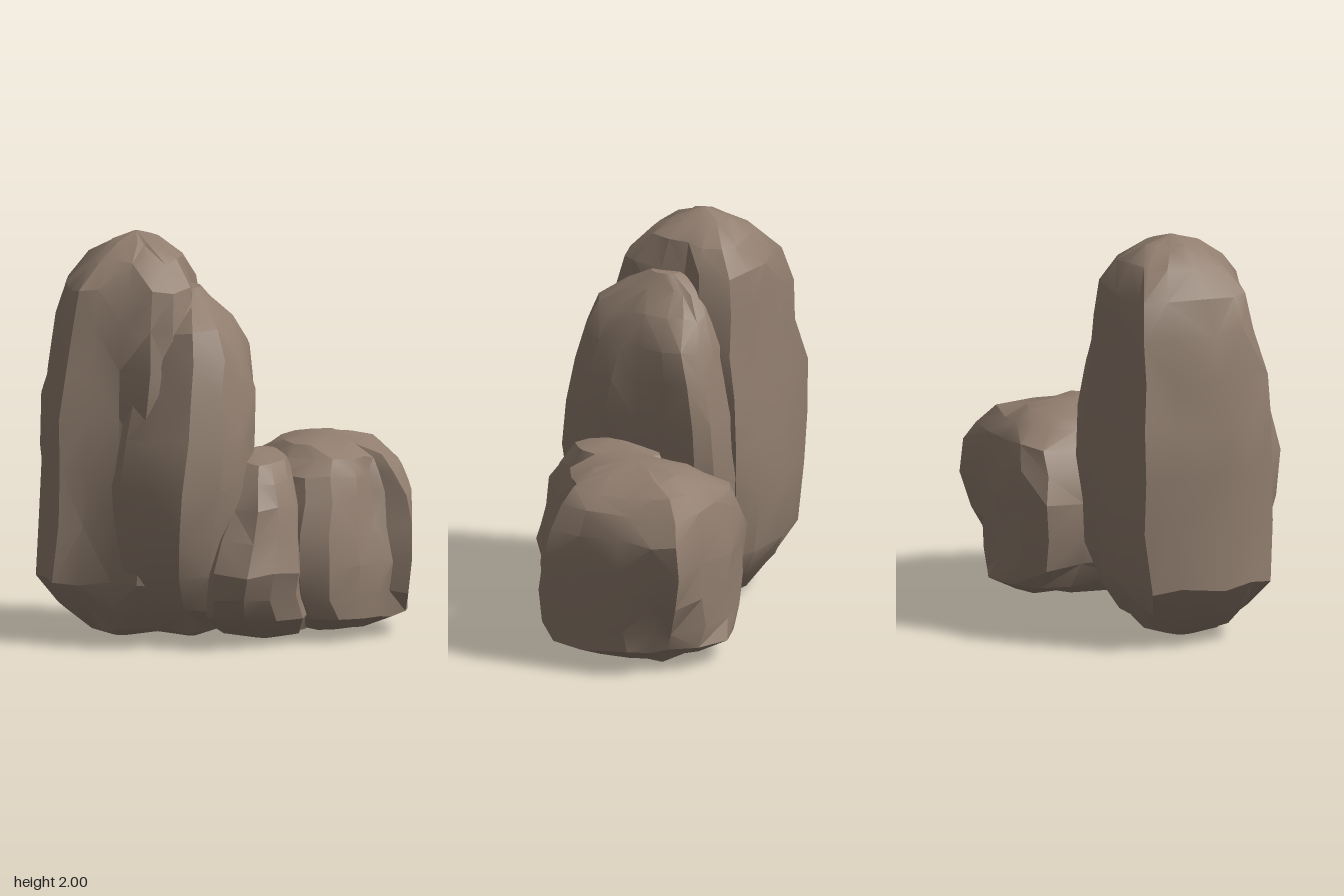
import * as THREE from 'three';
import { toCreasedNormals } from 'three/addons/utils/BufferGeometryUtils.js';

// Small seeded generator for the chipped surface
function seeded(seed) {
  let s = seed;
  return () => {
    s = (s * 16807) % 2147483647;
    return s / 2147483647 - 0.5;
  };
}

// plan: outline in x,z at the widest level, running front, right, back, left
// levels: [y, xMin, xMax, zMin, zMax] from bottom to top
// roundness: how soon the outline turns oval towards the ends
// dents: [x, y, z, radius, depth] gouges pushed towards the core
function rockGeometry({ plan, levels, roundness, dents, seed }) {
  const rnd = seeded(seed);
  const xs = plan.map(p => p[0]), zs = plan.map(p => p[1]);
  const norm = (v, a) => {
    const lo = Math.min(...a), hi = Math.max(...a);
    return (2 * v - lo - hi) / (hi - lo);
  };
  const unit = plan.map(([x, z]) => [norm(x, xs), norm(z, zs)]);
  const n = plan.length, m = levels.length;
  const verts = [], index = [];

  levels.forEach(([y, x0, x1, z0, z1], i) => {
    const t = Math.abs((2 * i) / (m - 1) - 1);
    const round = Math.min(1, roundness * t * t);
    const cx = (x0 + x1) / 2, cz = (z0 + z1) / 2;
    const rough = i === 0 || i === m - 1 ? 0 : 0.028;
    unit.forEach(([u, v]) => {
      const k = 1 / THREE.MathUtils.lerp(1, Math.max(0.6, Math.hypot(u, v)), round);
      const p = new THREE.Vector3(cx + u * k * (x1 - x0) / 2, y, cz + v * k * (z1 - z0) / 2);
      p.x += rnd() * rough;
      p.y += rnd() * rough;
      p.z += rnd() * rough;
      for (const [dx, dy, dz, r, depth] of dents) {
        const d = Math.hypot(p.x - dx, p.y - dy, p.z - dz);
        if (d < r) {
          const f = depth * (1 - d / r) / Math.hypot(p.x - cx, p.z - cz);
          p.x += (cx - p.x) * f;
          p.z += (cz - p.z) * f;
        }
      }
      verts.push(p.x, p.y, p.z);
    });
  });

  // sides, with varied diagonals
  for (let i = 0; i < m - 1; i++) {
    for (let j = 0; j < n; j++) {
      const a = i * n + j, b = i * n + (j + 1) % n, c = a + n, d = b + n;
      if (rnd() > 0) index.push(a, b, c, b, d, c);
      else index.push(a, b, d, a, d, c);
    }
  }
  // bottom and top caps
  for (const [row, up] of [[0, false], [m - 1, true]]) {
    const [y, x0, x1, z0, z1] = levels[row];
    const centre = verts.length / 3;
    verts.push((x0 + x1) / 2, y, (z0 + z1) / 2);
    for (let j = 0; j < n; j++) {
      const a = row * n + j, b = row * n + (j + 1) % n;
      index.push(centre, up ? a : b, up ? b : a);
    }
  }
  const g = new THREE.BufferGeometry();
  g.setAttribute('position', new THREE.Float32BufferAttribute(verts, 3));
  g.setIndex(index);
  return toCreasedNormals(g, 0.42);
}

const rocks = {
  tallRock: {
    seed: 11,
    roundness: 1.4,
    plan: [[-0.44, 0.42], [-0.3, 0.42], [-0.2, 0.3], [-0.18, 0.1], [-0.2, -0.06], [-0.11, -0.2],
      [-0.13, -0.39], [-0.3, -0.43], [-0.55, -0.43], [-0.76, -0.4], [-0.89, -0.42], [-0.91, -0.25],
      [-0.93, 0], [-0.91, 0.18], [-0.87, 0.29], [-0.74, 0.31], [-0.58, 0.35]],
    levels: [[0, -0.56, -0.45, -0.1, 0.03], [0.05, -0.68, -0.3, -0.25, 0.2], [0.17, -0.82, -0.2, -0.36, 0.32],
      [0.31, -0.93, -0.14, -0.41, 0.39], [0.6, -0.92, -0.11, -0.43, 0.42], [0.88, -0.91, -0.1, -0.42, 0.42],
      [1.13, -0.9, -0.1, -0.41, 0.41], [1.35, -0.86, -0.1, -0.4, 0.4], [1.57, -0.83, -0.1, -0.4, 0.36],
      [1.75, -0.78, -0.12, -0.38, 0.31], [1.88, -0.67, -0.19, -0.31, 0.21], [1.96, -0.55, -0.31, -0.2, 0.08],
      [2, -0.45, -0.41, -0.08, -0.04]],
    dents: [[-0.62, 1.25, 0.36, 0.22, 0.07], [-0.68, 0.5, 0.36, 0.2, 0.03]],
  },
  leaningRock: {
    seed: 29,
    roundness: 1.1,
    plan: [[-0.24, 0.61], [-0.06, 0.55], [0.06, 0.43], [0.14, 0.24], [0.14, 0.06], [0.15, -0.12],
      [0.14, -0.27], [0.06, -0.35], [-0.08, -0.37], [-0.3, -0.36], [-0.48, -0.25], [-0.59, 0],
      [-0.6, 0.28], [-0.54, 0.43], [-0.4, 0.52]],
    levels: [[0, -0.2, -0.14, 0, 0.07], [0.05, -0.38, 0, -0.2, 0.26], [0.18, -0.52, 0.06, -0.3, 0.42],
      [0.36, -0.58, 0.09, -0.35, 0.53], [0.58, -0.6, 0.11, -0.36, 0.59], [0.8, -0.6, 0.13, -0.36, 0.61],
      [1.05, -0.57, 0.15, -0.35, 0.57], [1.25, -0.53, 0.15, -0.33, 0.51], [1.42, -0.47, 0.14, -0.3, 0.45],
      [1.56, -0.4, 0.06, -0.25, 0.39], [1.67, -0.31, -0.05, -0.18, 0.25], [1.74, -0.22, -0.12, -0.05, 0.1]],
    dents: [[0.06, 1.45, 0.17, 0.3, 0.06]],
  },
  smallRock: {
    seed: 47,
    roundness: 0.9,
    plan: [[0.07, 0.6], [0.2, 0.54], [0.33, 0.44], [0.36, 0.34], [0.4, 0.24], [0.36, 0.02],
      [0.28, -0.16], [0.16, -0.22], [0, -0.1], [-0.1, 0.12], [-0.15, 0.34], [-0.1, 0.53]],
    levels: [[0, 0.13, 0.24, 0.05, 0.16], [0.04, -0.03, 0.38, -0.08, 0.33], [0.14, -0.16, 0.42, -0.16, 0.48],
      [0.26, -0.16, 0.39, -0.2, 0.56], [0.38, -0.14, 0.39, -0.22, 0.6], [0.54, -0.09, 0.39, -0.22, 0.56],
      [0.7, -0.04, 0.36, -0.2, 0.51], [0.82, 0.01, 0.32, -0.18, 0.44], [0.9, 0.05, 0.29, -0.12, 0.36],
      [0.94, 0.09, 0.15, 0.1, 0.2]],
    dents: [[0.36, 0.55, 0.4, 0.14, 0.03]],
  },
  wideRock: {
    seed: 83,
    roundness: 1.2,
    plan: [[0.48, 0.39], [0.64, 0.31], [0.74, 0.22], [0.82, 0.18], [0.92, 0.2], [0.93, 0],
      [0.93, -0.25], [0.92, -0.45], [0.92, -0.59], [0.65, -0.58], [0.42, -0.61], [0.2, -0.59],
      [0.04, -0.52], [0.05, -0.3], [0.08, 0], [0.18, 0.26], [0.34, 0.38]],
    levels: [[0, 0.48, 0.56, -0.2, -0.1], [0.04, 0.28, 0.76, -0.46, 0.2], [0.11, 0.16, 0.9, -0.61, 0.34],
      [0.22, 0.08, 0.9, -0.61, 0.38], [0.38, 0.05, 0.92, -0.6, 0.39], [0.55, 0.04, 0.93, -0.6, 0.38],
      [0.7, 0.07, 0.93, -0.58, 0.34], [0.81, 0.13, 0.87, -0.56, 0.29], [0.89, 0.21, 0.8, -0.49, 0.21],
      [0.94, 0.28, 0.68, -0.4, 0.12], [0.97, 0.42, 0.55, -0.24, -0.05]],
    dents: [[0.76, 0.66, 0.22, 0.26, 0.09], [0.94, 0.1, -0.6, 0.36, 0.2]],
  },
};

export function createModel() {
  const group = new THREE.Group();
  group.name = 'rockCluster';
  const stone = new THREE.MeshStandardMaterial({ color: 0x917e6f });
  stone.name = 'brownStone';
  for (const [name, spec] of Object.entries(rocks)) {
    const mesh = new THREE.Mesh(rockGeometry(spec), stone);
    mesh.name = name;
    group.add(mesh);
  }
  return group;
}
